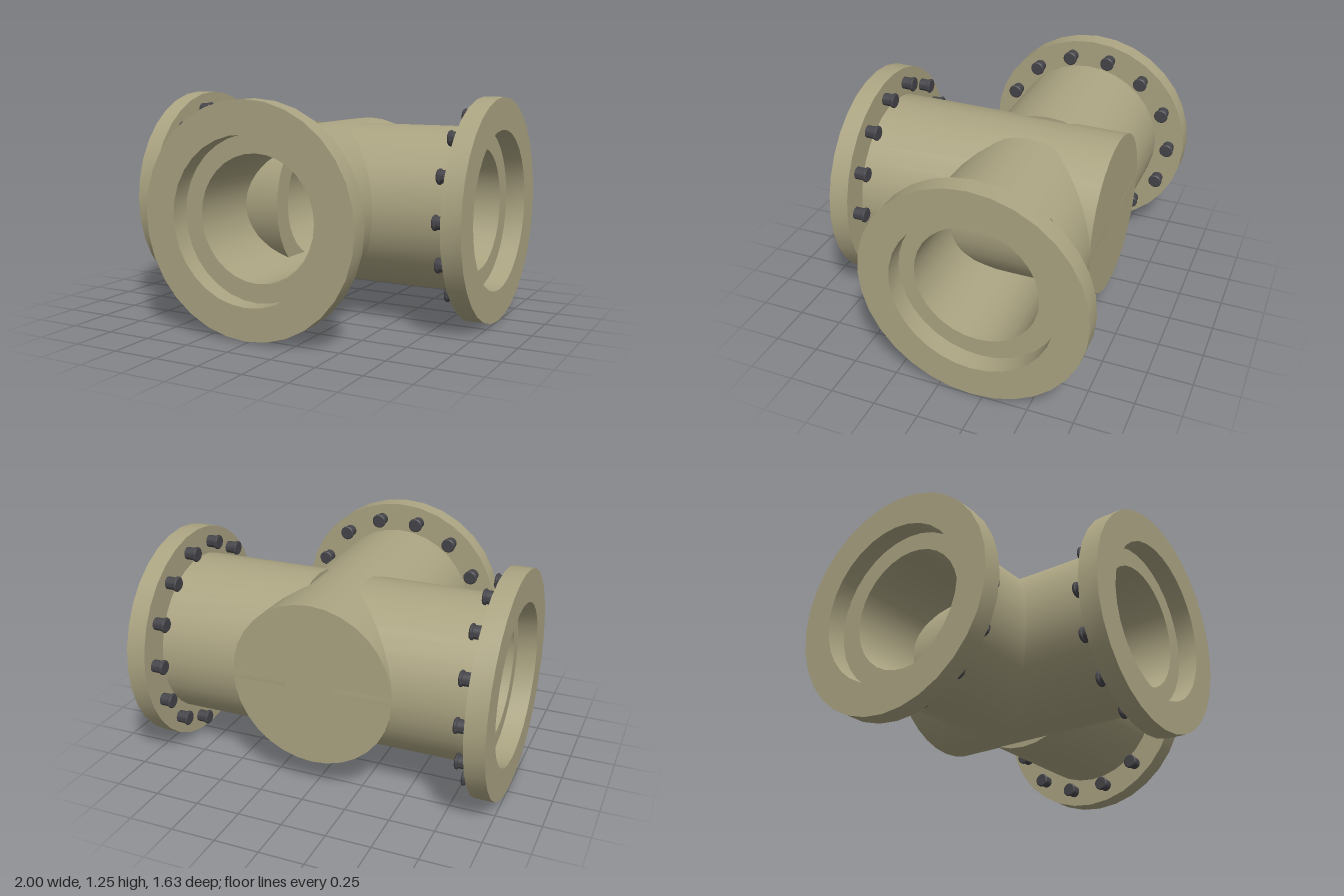
import * as THREE from 'three';
import { toCreasedNormals } from 'three/addons/utils/BufferGeometryUtils.js';

const SIDES = 32;
const PIPE_Z = -0.175, AXIS_Y = 0.62;
const metal = new THREE.MeshStandardMaterial({ color: 0xaba482, side: THREE.DoubleSide });
const dark = new THREE.MeshStandardMaterial({ color: 0x45454a });

// Turned part about +y from [radius, height] pairs
function turned(profile, sides = SIDES) {
  const points = profile.map(([r, h]) => new THREE.Vector2(r, h));
  return toCreasedNormals(new THREE.LatheGeometry(points, sides), 0.6);
}

// Hollow ring or tube between two heights
function tube(inner, outer, y0, y1) {
  return turned([[inner, y0], [outer, y0], [outer, y1], [inner, y1], [inner, y0]]);
}

function add(parent, name, geometry, material = metal) {
  const mesh = new THREE.Mesh(geometry, material);
  mesh.name = name;
  parent.add(mesh);
  return mesh;
}

// Ring flange from height y0 to y1, with its bolt heads on the inner side
function flange(name, y0, y1) {
  const group = new THREE.Group();
  group.name = name;
  add(group, 'flangeRing', tube(0.443, 0.62, y0, y1));
  const bolt = turned([
    [0, -0.07], [0.036, -0.07], [0.042, -0.064], [0.042, -0.055],
    [0.035, -0.05], [0.035, 0.005], [0, 0.005],
  ], 14);
  const count = 14;
  for (let i = 0; i < count; i++) {
    const a = (i / count) * Math.PI * 2;
    const head = add(group, 'boltHead', bolt, dark);
    head.position.set(0.53 * Math.cos(a), y0, 0.53 * Math.sin(a));
  }
  return group;
}

export function createModel() {
  const model = new THREE.Group();
  model.name = 'pipeTee';

  // Two side arms, each stopping short of the middle
  for (const side of [1, -1]) {
    const arm = new THREE.Group();
    arm.name = side > 0 ? 'leftArm' : 'rightArm';
    add(arm, 'armPipe', tube(0.34, 0.457, 0.14, 0.89));
    const end = flange('armFlange', 0.89, 1);
    end.position.x = 0;
    arm.add(end);
    // Turn the arm axis to +x or -x; the first bolt stays on the front
    const basis = new THREE.Matrix4().makeBasis(
      new THREE.Vector3(0, 0, 1),
      new THREE.Vector3(side, 0, 0),
      new THREE.Vector3(0, side, 0),
    );
    arm.quaternion.setFromRotationMatrix(basis);
    arm.position.set(0, AXIS_Y - 0.003, PIPE_Z);
    // Flange sits a touch off the pipe axis, towards the back
    end.position.x = -0.015;
    model.add(arm);
  }

  // Front branch, running through to a closed back
  const branch = new THREE.Group();
  branch.name = 'frontBranch';
  add(branch, 'branchPipe', turned([
    [0, -0.63], [0.455, -0.63], [0.455, 0.71], [0.34, 0.71], [0.34, -0.6], [0, -0.6],
  ]));
  branch.add(flange('branchFlange', 0.71, 0.82));
  branch.rotation.x = Math.PI / 2;
  branch.position.set(-0.007, AXIS_Y + 0.002, 0);
  model.add(branch);

  return model;
}
